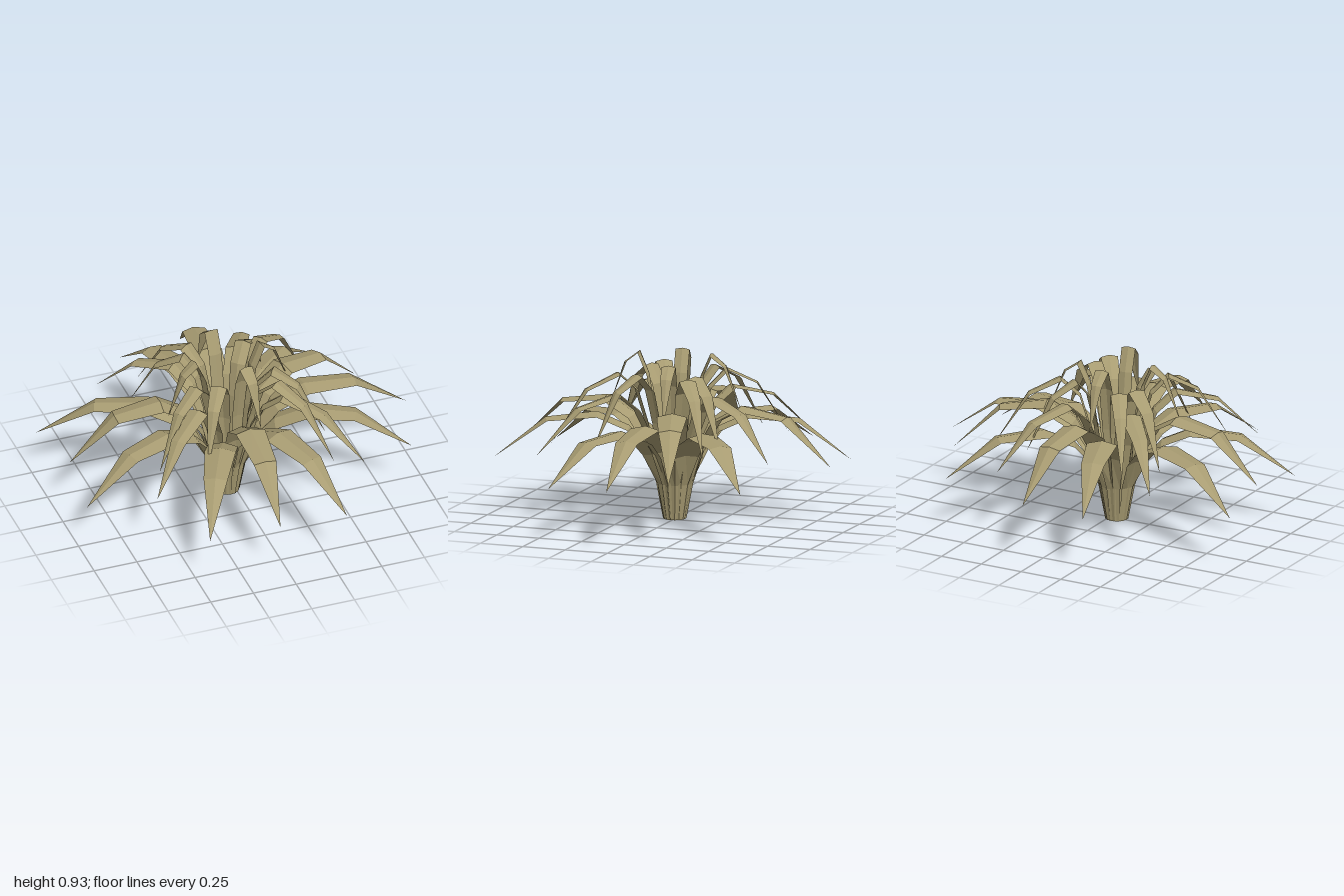
import * as THREE from 'three';

// The crown sits slightly off centre
const CX = -0.04;
const CZ = 0.008;

// Leaf kinds: centre line [radius, height] from root to tip, and half widths
const KINDS = {
  low: {
    path: [[0.06, 0], [0.096, 0.2], [0.175, 0.37], [0.255, 0.46], [0.41, 0.53], [0.67, 0.515], [0.97, 0.31]],
    half: [0.024, 0.038, 0.07, 0.083, 0.086, 0.066, 0],
  },
  middle: {
    path: [[0.06, 0], [0.095, 0.2], [0.165, 0.39], [0.255, 0.505], [0.42, 0.58], [0.69, 0.555], [0.98, 0.34]],
    half: [0.024, 0.038, 0.068, 0.082, 0.086, 0.065, 0],
  },
  high: {
    path: [[0.06, 0], [0.095, 0.2], [0.155, 0.41], [0.245, 0.555], [0.4, 0.645], [0.66, 0.61], [0.93, 0.36]],
    half: [0.024, 0.038, 0.066, 0.08, 0.084, 0.065, 0],
  },
  upper: {
    path: [[0.059, 0], [0.093, 0.21], [0.147, 0.47], [0.215, 0.615], [0.33, 0.715], [0.56, 0.655], [0.8, 0.42]],
    half: [0.022, 0.032, 0.05, 0.056, 0.058, 0.045, 0],
  },
  small: {
    path: [[0.058, 0], [0.09, 0.23], [0.135, 0.54], [0.185, 0.73], [0.275, 0.825], [0.43, 0.745], [0.6, 0.46]],
    half: [0.02, 0.028, 0.04, 0.045, 0.047, 0.036, 0],
  },
  inner: {
    path: [[0.058, 0], [0.086, 0.24], [0.115, 0.55], [0.155, 0.8], [0.208, 0.925], [0.285, 0.865], [0.38, 0.62]],
    half: [0.02, 0.026, 0.036, 0.039, 0.04, 0.033, 0],
  },
};

// Leaf tips as [x, z, height factor] for each kind
const TIPS = {
  low: [[0.67, -0.655], [0.9, 0.39], [-0.455, 0.867], [-0.98, 0.332], [-1, -0.437]],
  middle: [[1, 0.008], [0.32, 0.94], [-0.34, -0.915]],
  high: [[0.025, -0.94], [0.82, -0.288], [-0.07, 0.94], [-0.95, -0.035]],
  upper: [[0.548, 0.593], [-0.645, 0.54], [-0.59, -0.605], [0.328, -0.685]],
  small: [[0.518, -0.373], [0.425, 0.303], [0.375, 0.573], [-0.5, -0.335], [-0.375, -0.535],
    [0.303, -0.39], [-0.56, 0.348], [-0.3, 0.408]],
  inner: [[-0.08, -0.37], [0.025, 0.368], [0.345, -0.075, 0.96], [-0.41, 0.068, 0.98]],
};

// Folded blade running along +x with a raised midrib, ending in a point
function leafGeometry({ path, half }, reach, rise) {
  const pos = [];
  const index = [];
  const last = path.length - 1;
  const scale = reach / path[last][0];
  path.forEach(([r, h], i) => {
    const a = path[Math.max(i - 1, 0)];
    const b = path[Math.min(i + 1, last)];
    const len = Math.hypot(b[0] - a[0], b[1] - a[1]);
    const lift = i < 2 ? 0 : half[i] * 0.24;
    const x = i < 2 ? r : r * scale;
    const y = h * rise;
    const rx = x - (lift * (b[1] - a[1])) / len;
    const ry = y + (lift * (b[0] - a[0])) / len;
    pos.push(x, y, half[i], rx, ry, 0, x, y, -half[i]);
    if (i === last) return;
    for (let k = 0; k < 2; k++) {
      const p = i * 3 + k;
      const q = p + 3;
      index.push(p, q, p + 1);
      if (i < last - 1) index.push(p + 1, q, q + 1);
    }
  });
  const g = new THREE.BufferGeometry();
  g.setAttribute('position', new THREE.Float32BufferAttribute(pos, 3));
  g.setIndex(index);
  const flat = g.toNonIndexed();
  flat.computeVertexNormals();
  return flat;
}

export function createModel() {
  const model = new THREE.Group();
  model.name = 'rosettePlant';
  const leafMat = new THREE.MeshStandardMaterial({
    name: 'dry leaf', color: 0xa89c72, flatShading: true, side: THREE.DoubleSide,
  });

  // Rings of arching leaves
  for (const [kind, tips] of Object.entries(TIPS)) {
    const ring = new THREE.Group();
    ring.name = kind + 'Leaves';
    for (const [x, z, rise = 1] of tips) {
      const dx = x - CX;
      const dz = z - CZ;
      const leaf = new THREE.Mesh(leafGeometry(KINDS[kind], Math.hypot(dx, dz), rise), leafMat);
      leaf.name = kind + 'Leaf';
      leaf.position.set(CX, 0, CZ);
      leaf.rotation.y = -Math.atan2(dz, dx);
      ring.add(leaf);
    }
    model.add(ring);
  }

  // Hollow stem sheath at the roots, open at both ends
  const stem = new THREE.Mesh(new THREE.CylinderGeometry(0.09, 0.056, 0.2, 16, 1, true), leafMat);
  stem.name = 'stem';
  stem.position.set(CX, 0.1, CZ);
  model.add(stem);

  return model;
}
